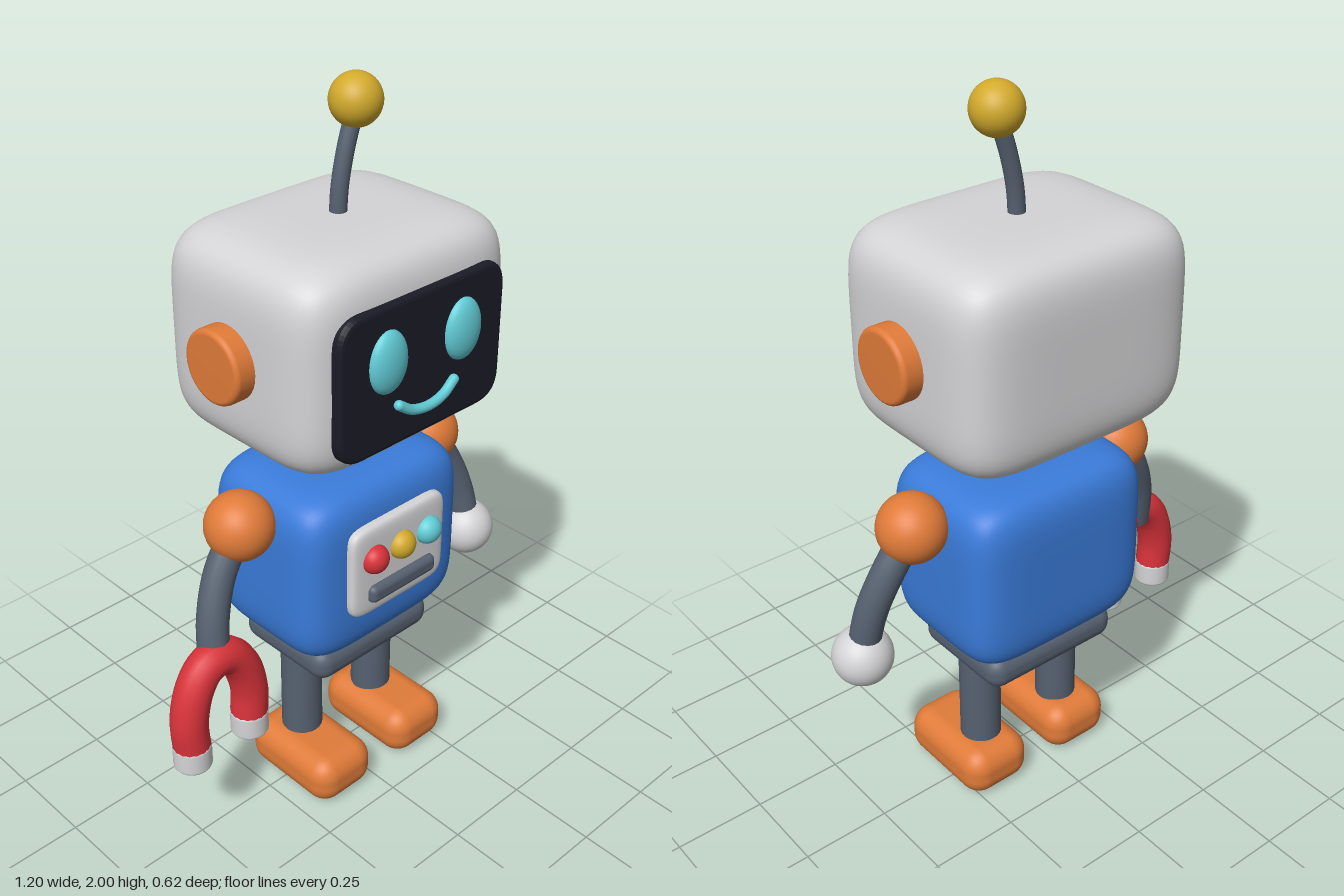
import * as THREE from 'three';
import { mergeVertices } from 'three/addons/utils/BufferGeometryUtils.js';
import { RoundedBoxGeometry } from 'three/addons/geometries/RoundedBoxGeometry.js';

const mat = (name, color) => {
  const m = new THREE.MeshStandardMaterial({ color });
  m.name = name;
  return m;
};

// Box swollen into a smooth, slightly bulging block; a higher power gives tighter corners
function softBox(w, h, d, power) {
  let geo = new THREE.BoxGeometry(2, 2, 2, 24, 24, 24);
  geo.deleteAttribute('normal');
  geo.deleteAttribute('uv');
  geo = mergeVertices(geo);
  const p = geo.attributes.position;
  const v = new THREE.Vector3();
  for (let i = 0; i < p.count; i++) {
    v.fromBufferAttribute(p, i);
    const s = Math.abs(v.x) ** power + Math.abs(v.y) ** power + Math.abs(v.z) ** power;
    v.multiplyScalar(s ** (-1 / power));
    p.setXYZ(i, v.x * w / 2, v.y * h / 2, v.z * d / 2);
  }
  geo.computeVertexNormals();
  return geo;
}

// Solid cylinder along y with rounded rims
function softCylinder(r, h, b) {
  const pts = [[0, -h / 2]];
  for (let i = 0; i <= 4; i++) {
    const a = i / 4 * Math.PI / 2;
    pts.push([r - b + b * Math.sin(a), -h / 2 + b - b * Math.cos(a)]);
  }
  for (let i = 0; i <= 4; i++) {
    const a = i / 4 * Math.PI / 2;
    pts.push([r - b + b * Math.cos(a), h / 2 - b + b * Math.sin(a)]);
  }
  pts.push([0, h / 2]);
  return new THREE.LatheGeometry(pts.map(q => new THREE.Vector2(...q)), 32);
}

function tube(points, r) {
  const curve = new THREE.CatmullRomCurve3(points.map(q => new THREE.Vector3(...q)));
  return new THREE.TubeGeometry(curve, 40, r, 16);
}

const ball = r => new THREE.SphereGeometry(r, 32, 20);

// Rounded plate facing +z, with its front at z = depth
function plate(w, h, r, depth, bevel) {
  const x = w / 2 - bevel, y = h / 2 - bevel;
  const s = new THREE.Shape();
  s.moveTo(-x + r, -y);
  s.lineTo(x - r, -y);
  s.quadraticCurveTo(x, -y, x, -y + r);
  s.lineTo(x, y - r);
  s.quadraticCurveTo(x, y, x - r, y);
  s.lineTo(-x + r, y);
  s.quadraticCurveTo(-x, y, -x, y - r);
  s.lineTo(-x, -y + r);
  s.quadraticCurveTo(-x, -y, -x + r, -y);
  const geo = new THREE.ExtrudeGeometry(s, {
    depth: depth - 2 * bevel, bevelSize: bevel, bevelThickness: bevel, bevelSegments: 3, curveSegments: 10,
  });
  return geo.translate(0, 0, bevel);
}

export function createModel() {
  const shell = mat('light grey shell', 0xd4d4d6);
  const blue = mat('blue body', 0x3a7bd9);
  const orange = mat('orange', 0xe07b39);
  const steel = mat('dark steel', 0x566170);
  const black = mat('screen black', 0x1b1b27);
  const cyan = mat('cyan glow', 0x62ccd6);
  const red = mat('red', 0xd8333a);
  const yellow = mat('yellow', 0xd2aa2c);

  const model = new THREE.Group();
  model.name = 'robot';
  // Parts are placed around the body axis
  const body = new THREE.Group();
  body.name = 'body';
  body.position.set(0.036, 0, -0.022);
  model.add(body);

  const add = (name, geo, material, x = 0, y = 0, z = 0) => {
    const m = new THREE.Mesh(geo, material);
    m.name = name;
    m.position.set(x, y, z);
    body.add(m);
    return m;
  };

  // Head, neck and torso
  add('head', softBox(0.71, 0.555, 0.578, 5.5), shell, 0, 1.397);
  add('neck', softCylinder(0.113, 0.16, 0.02), steel, 0, 1.113);
  add('torso', softBox(0.576, 0.51, 0.434, 5.5), blue, 0, 0.76);
  add('pelvis', new RoundedBoxGeometry(0.425, 0.1, 0.328, 5, 0.045), steel, 0, 0.46);

  // Face
  add('screen', plate(0.558, 0.385, 0.065, 0.1, 0.014), black, 0, 1.378, 0.2);
  for (const s of [-1, 1]) {
    add('eye', ball(1), cyan, s * 0.127, 1.427, 0.3).scale.set(0.06, 0.082, 0.032);
    add('mouthEnd', ball(0.013), cyan, s * 0.095, 1.304, 0.31);
  }
  add('mouth', tube([[-0.095, 1.304, 0.31], [-0.055, 1.279, 0.314], [0, 1.27, 0.317],
    [0.055, 1.279, 0.314], [0.095, 1.304, 0.31]], 0.013), cyan);

  // Antenna
  add('antennaRod', tube([[0, 1.63, 0], [0.006, 1.73, 0], [0.025, 1.82, 0], [0.058, 1.92, 0]], 0.022), steel);
  add('antennaBall', ball(0.066), yellow, 0.058, 1.934, 0);

  // Chest panel
  add('chestPanel', softBox(0.34, 0.272, 0.09, 8), shell, 0, 0.786, 0.197);
  [red, yellow, cyan].forEach((m, i) =>
    add('button', ball(0.04), m, (i - 1) * 0.098, 0.827, 0.243).scale.z = 0.9);
  add('chestSlot', new RoundedBoxGeometry(0.238, 0.052, 0.06, 4, 0.018), steel, 0, 0.719, 0.232);

  // Paired parts
  for (const s of [-1, 1]) {
    add('ear', softCylinder(0.097, 0.12, 0.014), orange, s * 0.35, 1.397).rotation.z = Math.PI / 2;
    add('shoulder', ball(0.093), orange, s * 0.341, 0.925);
    add('arm', tube([[s * 0.341, 0.925, 0], [s * 0.415, 0.82, 0.006],
      [s * 0.46, 0.71, 0.024], [s * 0.48, 0.585, 0.045]], 0.043), steel);
    add('leg', new THREE.CylinderGeometry(0.058, 0.058, 0.36, 24), steel, s * 0.138, 0.28);
    add('foot', new RoundedBoxGeometry(0.208, 0.145, 0.328, 6, 0.06), orange, s * 0.147, 0.0775, 0.047);
  }

  // Left hand
  add('hand', ball(0.082), shell, 0.48, 0.563, 0.048);

  // Horseshoe magnet on the right arm
  const mx = -0.481;
  add('magnet', tube([[mx - 0.098, 0.37, 0.06], [mx - 0.101, 0.46, 0.059], [mx - 0.078, 0.545, 0.057],
    [mx - 0.04, 0.595, 0.055], [mx, 0.608, 0.055], [mx + 0.04, 0.595, 0.055],
    [mx + 0.078, 0.545, 0.057], [mx + 0.101, 0.46, 0.059], [mx + 0.098, 0.37, 0.06]], 0.051), red);
  for (const s of [-1, 1]) {
    add('magnetTip', softCylinder(0.052, 0.075, 0.01), shell, mx + s * 0.098, 0.3475, 0.06);
  }

  return model;
}
